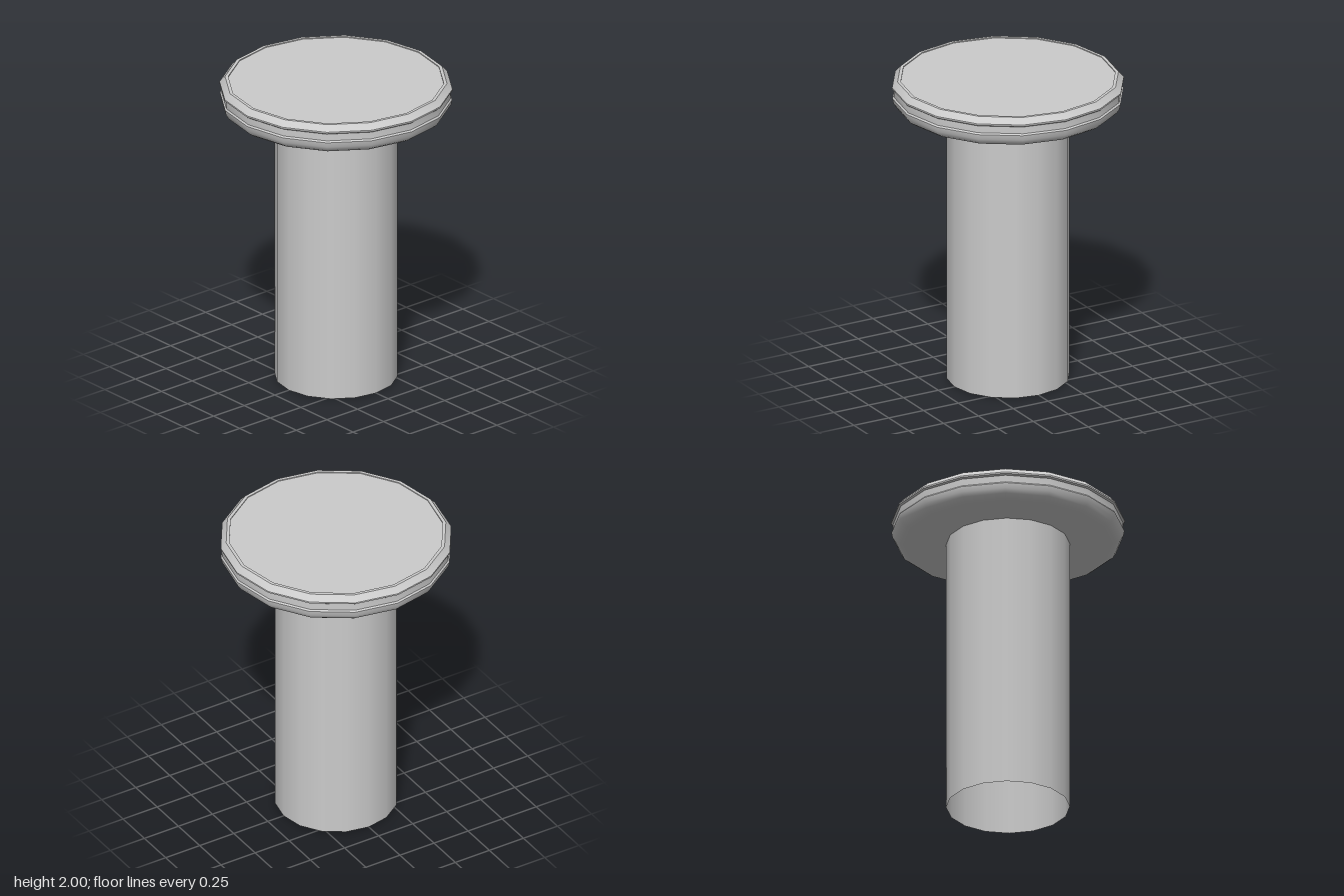
import * as THREE from 'three';
import { toCreasedNormals } from 'three/addons/utils/BufferGeometryUtils.js';

const SIDES = 16;

export function createModel() {
  const group = new THREE.Group();
  const material = new THREE.MeshStandardMaterial({ color: 0xcccccc, side: THREE.DoubleSide });

  // Shank: open tube, smooth around
  const shank = new THREE.Mesh(
    new THREE.CylinderGeometry(0.385, 0.385, 1.81, SIDES, 1, true), material);
  shank.name = 'shank';
  shank.position.y = 0.905;
  group.add(shank);

  // Head profile: underside, rounded lower edge, groove, bevelled lip, shallow top recess
  const profile = [[0, 1.805], [0.46, 1.805]];
  for (let i = 0; i <= 4; i++) {
    const a = (i / 4) * Math.PI / 2;
    profile.push([0.645 + 0.08 * Math.sin(a), 1.89 - 0.085 * Math.cos(a)]);
  }
  profile.push(
    [0.716, 1.9], [0.716, 1.945],
    [0.727, 1.953], [0.727, 1.963],
    [0.693, 2], [0.673, 2], [0.673, 1.994], [0, 1.994]);
  const headGeometry = new THREE.LatheGeometry(
    profile.map(([r, y]) => new THREE.Vector2(r, y)), SIDES);
  const head = new THREE.Mesh(toCreasedNormals(headGeometry, 0.6), material);
  head.name = 'head';
  group.add(head);

  return group;
}
